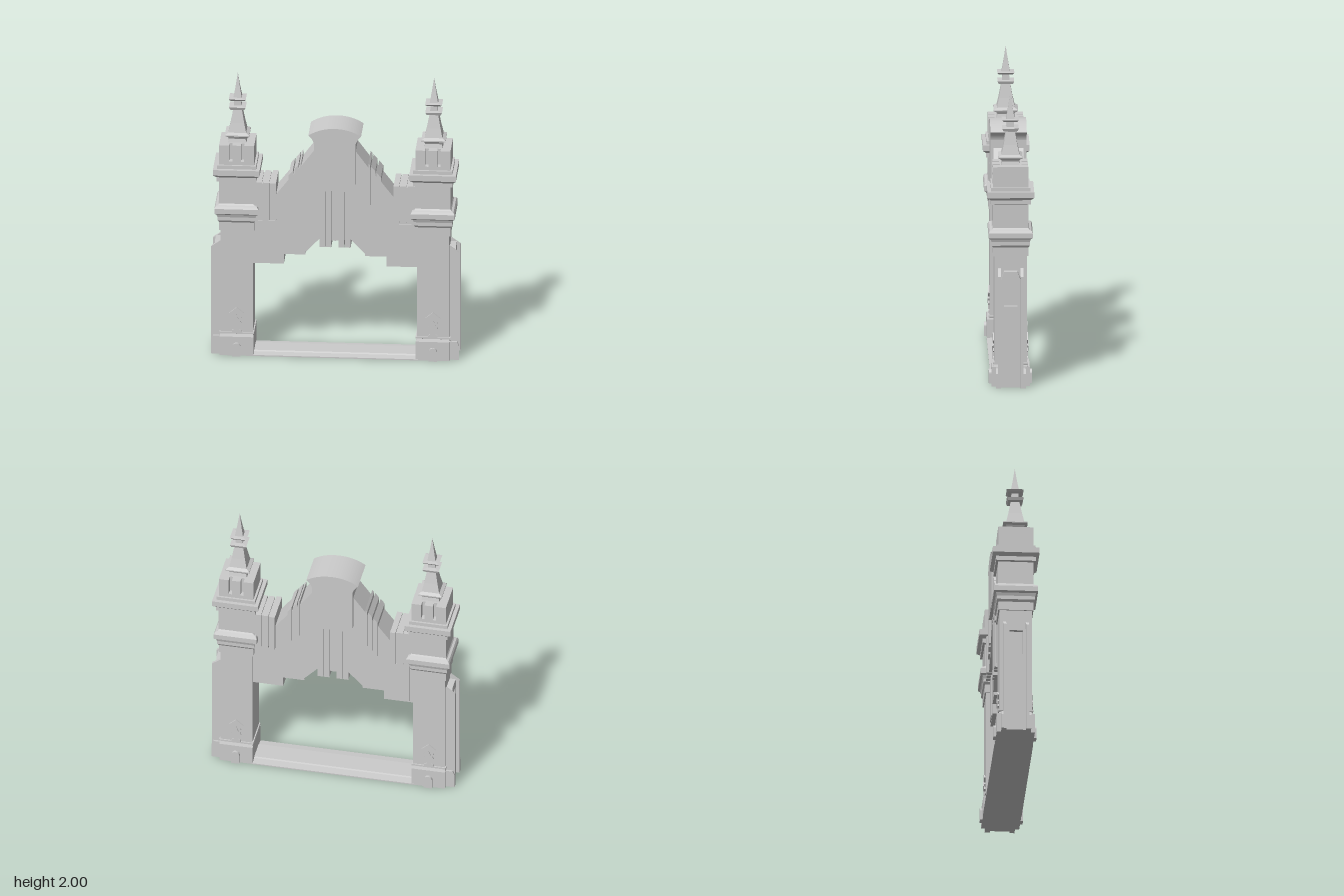
import * as THREE from 'three';

const grey = new THREE.MeshStandardMaterial({ color: 0xcccccc, flatShading: true });
const V = (x, y) => new THREE.Vector2(x, y);

function add(parent, name, geometry, x = 0, y = 0, z = 0) {
  const m = new THREE.Mesh(geometry, grey);
  m.name = name;
  m.position.set(x, y, z);
  parent.add(m);
  return m;
}

// Box given by its extents
function block(parent, name, x0, x1, y0, y1, z0, z1) {
  return add(parent, name, new THREE.BoxGeometry(x1 - x0, y1 - y0, z1 - z0),
    (x0 + x1) / 2, (y0 + y1) / 2, (z0 + z1) / 2);
}

// Upright outline extruded from z0 to z1
function slab(parent, name, shape, z0, z1) {
  const s = Array.isArray(shape) ? new THREE.Shape(shape.map(p => V(...p))) : shape;
  const g = new THREE.ExtrudeGeometry(s, { depth: z1 - z0, bevelEnabled: false, curveSegments: 16 });
  return add(parent, name, g, 0, 0, z0);
}

// Square-plan turned profile: pairs of half width and height
function square(parent, name, profile, x) {
  const g = new THREE.LatheGeometry(profile.map(([r, y]) => V(r * Math.SQRT2, y)), 4, Math.PI / 4);
  return add(parent, name, g, x);
}

// Same detail on front and back faces of a tower
function bothFaces(parent, name, x, build) {
  for (const turn of [0, Math.PI]) {
    const g = new THREE.Group();
    g.name = name;
    g.position.x = x;
    g.rotation.y = turn;
    build(g);
    parent.add(g);
  }
}

function tower() {
  const g = new THREE.Group(), X = 0.66;
  g.name = 'tower';

  // Base, shaft and moulded cornices
  block(g, 'base', X - 0.115, X + 0.113, 0, 0.135, -0.128, 0.128);
  square(g, 'baseMoulding', [[0, 0.13], [0.115, 0.135], [0.11, 0.15], [0.117, 0.153], [0.117, 0.165], [0, 0.17]], X);
  square(g, 'shaft', [
    [0, 0.1], [0.109, 0.1], [0.109, 0.9], [0.118, 0.9], [0.118, 0.96], [0.128, 0.975], [0.128, 1.0],
    [0.135, 1.02], [0.148, 1.03], [0.148, 1.065], [0.14, 1.08], [0.125, 1.085], [0.119, 1.095],
    [0.119, 1.255], [0.134, 1.26], [0.134, 1.29], [0.145, 1.3], [0.157, 1.31], [0.157, 1.35],
    [0.132, 1.35], [0.132, 1.375], [0.118, 1.375], [0.118, 1.4], [0, 1.4]], X);

  // Top block with two notches on front and back
  const h = 0.118, n = 0.075;
  const plan = [[-h, -h]];
  for (const c of [-0.04, 0.04]) plan.push([c - 0.011, -h], [c - 0.011, -n], [c + 0.011, -n], [c + 0.011, -h]);
  plan.push([h, -h], [h, h]);
  for (const c of [0.04, -0.04]) plan.push([c + 0.011, h], [c + 0.011, n], [c - 0.011, n], [c - 0.011, h]);
  plan.push([-h, h]);
  const top = new THREE.ExtrudeGeometry(new THREE.Shape(plan.map(p => V(...p))), { depth: 0.125, bevelEnabled: false });
  top.rotateX(-Math.PI / 2);
  add(g, 'notchedBlock', top, X, 1.39, 0);

  // Spire with thin collars
  square(g, 'spire', [
    [0, 1.5], [0.062, 1.515], [0.056, 1.54], [0.064, 1.555], [0.082, 1.565], [0.082, 1.573], [0.06, 1.585],
    [0.046, 1.65], [0.03, 1.74], [0.048, 1.746], [0.056, 1.765], [0.025, 1.768], [0.023, 1.805],
    [0.046, 1.81], [0.057, 1.823], [0.028, 1.826], [0.015, 1.9], [0, 2]], X);

  // Raised door and ornament
  bothFaces(g, 'faceRelief', X, f => {
    const door = new THREE.Shape([V(-0.028, 0), V(0.028, 0), V(0.028, 0.066)]);
    door.absarc(0, 0.066, 0.028, 0, Math.PI);
    slab(f, 'door', door, 0.12, 0.145);
    const half = [[0.032, 0.165], [0.03, 0.178], [0.016, 0.185], [0.016, 0.215], [0.034, 0.225],
      [0.026, 0.245], [0.034, 0.262], [0.028, 0.275], [0.05, 0.302]];
    const mirrored = half.map(([x, y]) => [-x, y]).reverse();
    slab(f, 'ornament', [...half, [0, 0.345], ...mirrored], 0.1, 0.118);
    slab(f, 'ornamentCore', [[0, 0.22], [0.016, 0.255], [0, 0.295], [-0.016, 0.255]], 0.11, 0.123);
  });

  // Outer buttress: two rails around a panel with a recessed window
  const slope = [[0.75, 0], [0.833, 0], [0.833, 0.77], [0.77, 0.815], [0.75, 0.815]];
  for (const s of [-1, 1]) {
    slab(g, 'buttressRail', slope, s * 0.076 - 0.01, s * 0.076 + 0.01);
    slab(g, 'buttressFoot', [[0.75, 0], [0.833, 0], [0.833, 0.1], [0.82, 0.13], [0.75, 0.13]], s * 0.09 - 0.01, s * 0.09 + 0.01);
  }
  const panel = new THREE.Shape([V(-0.068, 0), V(0.068, 0), V(0.068, 0.735), V(0.045, 0.8), V(-0.045, 0.8), V(-0.068, 0.735)]);
  panel.holes.push(new THREE.Path([V(-0.045, 0.56), V(-0.045, 0.735), V(0.045, 0.735), V(0.045, 0.56)]));
  const pg = new THREE.ExtrudeGeometry(panel, { depth: 0.05, bevelEnabled: false });
  pg.rotateY(Math.PI / 2);
  add(g, 'buttressPanel', pg, 0.76, 0, 0);
  block(g, 'windowBack', 0.75, 0.785, 0.55, 0.745, -0.05, 0.05);
  return g;
}

function archHalf() {
  const g = new THREE.Group();
  g.name = 'archHalf';

  // Stepped spandrel wall
  slab(g, 'spandrel', [
    [0, 0.83], [0.105, 0.845], [0.2, 0.745], [0.2, 0.725], [0.345, 0.725], [0.345, 0.655], [0.56, 0.655],
    [0.56, 1.0], [0.39, 1.0], [0.3, 1.08], [0.2, 1.16], [0.1, 1.21], [0, 1.24]], -0.08, 0.08);
  block(g, 'spandrelPanel', 0.405, 0.52, 0.668, 0.965, -0.086, 0.086);
  slab(g, 'innerSpandrelPanel', [[0.105, 0.845], [0.2, 0.745], [0.2, 1.14], [0.105, 1.19]], -0.086, 0.086);
  block(g, 'centrePilaster', 0.025, 0.062, 0.79, 1.26, -0.098, 0.098);
  block(g, 'centrePilaster', 0.066, 0.105, 0.79, 1.26, -0.098, 0.098);

  // Raking gable with upright ribs
  const gable = new THREE.Shape([V(0, 1.2), V(0.1, 1.19)]);
  gable.splineThru([V(0.2, 1.135), V(0.28, 1.04), V(0.395, 0.985)]);
  for (const [x, y] of [[0.395, 1.165], [0.31, 1.275], [0.225, 1.375], [0.14, 1.49], [0, 1.49]]) gable.lineTo(x, y);
  slab(g, 'gable', gable, -0.1, 0.1);
  const rake = x => 1.31 + (0.31 - x) * 1.18;
  for (const [a, b] of [[0.225, 0.238], [0.245, 0.272], [0.282, 0.31]])
    slab(g, 'gableRib', [[a, 1.12 - (a - 0.225)], [b, 1.12 - (b - 0.225)], [b, rake(b)], [a, rake(a)]], -0.113, 0.113);

  // Grooved shoulder beside the tower
  block(g, 'shoulderCore', 0.4, 0.56, 0.99, 1.24, -0.1, 0.1);
  for (const [a, b, z] of [[0.395, 0.432, 0.118], [0.441, 0.482, 0.112], [0.491, 0.56, 0.112]])
    block(g, 'shoulderRib', a, b, 0.98, 1.25, -z, z);
  return g;
}

export function createModel() {
  const model = new THREE.Group();
  model.name = 'gateway';

  // Each half is the other turned about the vertical axis
  for (const turn of [0, Math.PI]) {
    const half = new THREE.Group();
    half.name = turn ? 'rightHalf' : 'leftHalf';
    half.rotation.y = turn;
    half.add(tower(), archHalf());
    model.add(half);
  }

  // Crowning block with flared shoulders and a curved top
  const crown = new THREE.Shape([V(-0.14, 1.25)]);
  crown.quadraticCurveTo(0, 1.195, 0.14, 1.25);
  crown.lineTo(0.14, 1.545);
  crown.quadraticCurveTo(0.145, 1.575, 0.177, 1.605);
  crown.quadraticCurveTo(0.1, 1.657, 0, 1.657);
  crown.quadraticCurveTo(-0.1, 1.657, -0.177, 1.605);
  crown.quadraticCurveTo(-0.145, 1.575, -0.14, 1.545);
  slab(model, 'crown', crown, -0.122, 0.122);

  // Stepped threshold between the towers
  const sill = new THREE.Shape([V(-0.13, 0), V(0.13, 0), V(0.13, 0.008), V(0.075, 0.013), V(0.07, 0.022),
    V(-0.07, 0.022), V(-0.075, 0.013), V(-0.13, 0.008)]);
  const sg = new THREE.ExtrudeGeometry(sill, { depth: 1.12, bevelEnabled: false });
  sg.rotateY(Math.PI / 2);
  add(model, 'threshold', sg, -0.56, 0, 0);
  return model;
}
